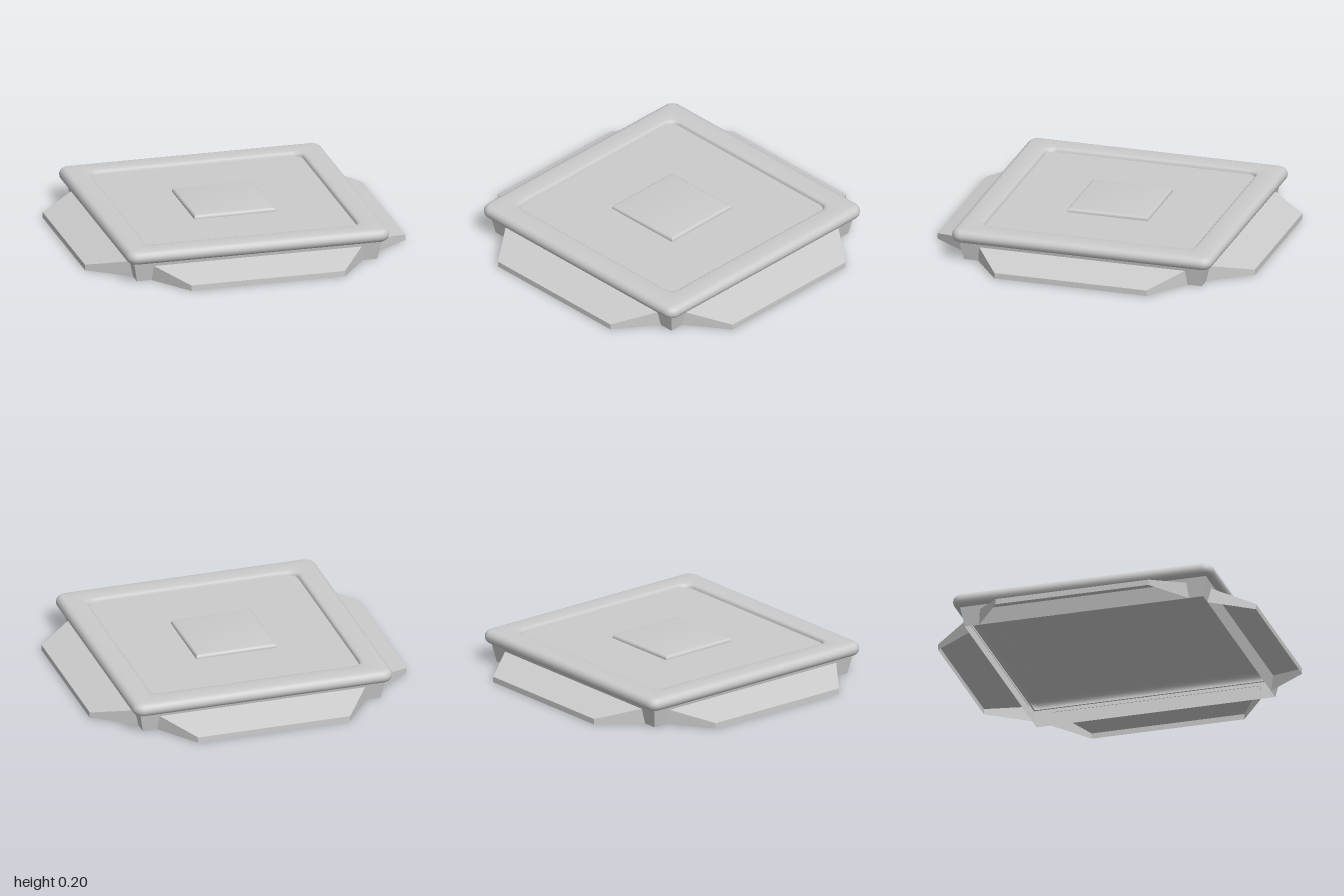
import * as THREE from 'three';
import { toCreasedNormals } from 'three/addons/utils/BufferGeometryUtils.js';

const material = new THREE.MeshStandardMaterial({ color: 0xcccccc, side: THREE.DoubleSide });

// Point loop of a square with rounded corners
function squareLoop(half, y, radius, steps = 6) {
  const points = [];
  for (let corner = 0; corner < 4; corner++) {
    const mid = Math.PI / 4 + corner * Math.PI / 2;
    const cx = Math.sign(Math.cos(mid)) * (half - radius);
    const cz = Math.sign(Math.sin(mid)) * (half - radius);
    for (let s = 0; s <= steps; s++) {
      const a = (corner + s / steps) * Math.PI / 2;
      points.push([cx + radius * Math.cos(a), y, cz + radius * Math.sin(a)]);
    }
  }
  return points;
}

// Skin through square loops, each given as [half width, height, corner radius]
function squareSkin(name, profile, crease = 0.6) {
  const loops = profile.map(([half, y, radius]) => squareLoop(half, y, radius));
  const n = loops[0].length;
  const index = [];
  for (let i = 0; i < loops.length - 1; i++) {
    for (let j = 0; j < n; j++) {
      const k = (j + 1) % n;
      const a = i * n + j, b = a + n, c = i * n + k, d = c + n;
      index.push(a, b, c, b, d, c);
    }
  }
  const geometry = new THREE.BufferGeometry();
  geometry.setAttribute('position', new THREE.Float32BufferAttribute(loops.flat(2), 3));
  geometry.setIndex(index);
  const mesh = new THREE.Mesh(toCreasedNormals(geometry, crease), material);
  mesh.name = name;
  return mesh;
}

// Sloped flap with a short outer lip and two cheeks, open underneath
function flapGeometry() {
  const geometry = new THREE.BufferGeometry();
  geometry.setAttribute('position', new THREE.Float32BufferAttribute([
    -0.65, 0.095, 0.766, 0.65, 0.095, 0.766, // top edge at the wall
    -0.48, 0.035, 1, 0.48, 0.035, 1,         // top of the lip
    -0.66, 0, 0.75, 0.66, 0, 0.75,           // foot at the wall
    -0.48, 0, 1, 0.48, 0, 1,                 // foot of the lip
  ], 3));
  geometry.setIndex([
    0, 2, 3, 0, 3, 1, // slope
    2, 6, 7, 2, 7, 3, // lip
    0, 4, 6, 0, 6, 2, // cheeks
    1, 3, 7, 1, 7, 5,
  ]);
  return toCreasedNormals(geometry, 0.2);
}

export function createModel() {
  const model = new THREE.Group();
  model.name = 'squarePlate';

  // Slightly flared base wall, open at the bottom
  model.add(squareSkin('baseWall', [[0.75, 0, 0], [0.775, 0.13, 0]]));

  // Rolled rim, stepping down to the recessed panel
  const profile = [[0.765, 0.122, 0.01]];
  for (let s = 0; s <= 8; s++) {
    const a = -Math.PI / 2 + s / 8 * Math.PI;
    profile.push([0.78 + 0.04 * Math.cos(a), 0.16 + 0.04 * Math.sin(a), 0.025 + 0.04 * Math.cos(a)]);
  }
  profile.push(
    [0.685, 0.2, 0.07], [0.672, 0.197, 0.065], [0.664, 0.19, 0.06],
    [0.66, 0.175, 0.06], [0, 0.175, 0],
  );
  model.add(squareSkin('rimAndPanel', profile));

  // Raised square with softened edges in the middle
  model.add(squareSkin('centrePad', [
    [0.255, 0.175, 0], [0.255, 0.185, 0], [0.251, 0.192, 0],
    [0.244, 0.197, 0], [0.235, 0.199, 0], [0, 0.199, 0],
  ]));

  // One flap on each side
  const flap = flapGeometry();
  ['frontFlap', 'leftFlap', 'backFlap', 'rightFlap'].forEach((name, i) => {
    const mesh = new THREE.Mesh(flap, material);
    mesh.name = name;
    mesh.rotation.y = i * Math.PI / 2;
    model.add(mesh);
  });
  return model;
}
